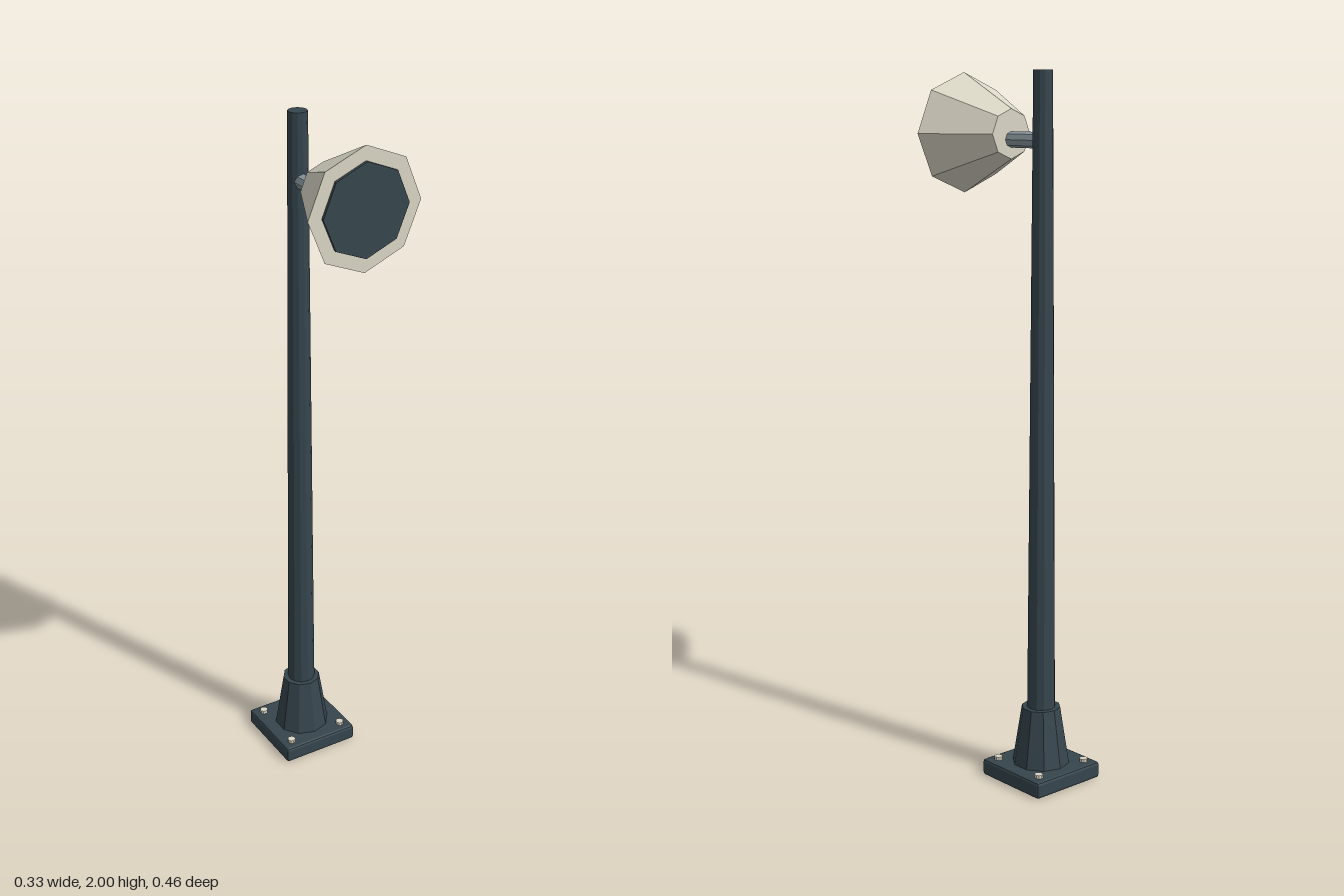
import * as THREE from 'three';
import { RoundedBoxGeometry } from 'three/addons/geometries/RoundedBoxGeometry.js';

export function createModel() {
  const group = new THREE.Group();
  const material = (name, color) => {
    const m = new THREE.MeshStandardMaterial({ color, flatShading: true });
    m.name = name;
    return m;
  };
  const darkSteel = material('dark steel', 0x36454d);
  const greySteel = material('grey steel', 0x8a98a0);
  const cream = material('cream', 0xdad6c6);

  const add = (name, geometry, mat, x, y, z) => {
    const mesh = new THREE.Mesh(geometry, mat);
    mesh.name = name;
    mesh.position.set(x, y, z);
    group.add(mesh);
  };
  // Upright tapered prism standing on yBottom
  const upright = (name, mat, rTop, rBottom, yBottom, yTop, sides, x, z) =>
    add(name, new THREE.CylinderGeometry(rTop, rBottom, yTop - yBottom, sides), mat, x, (yBottom + yTop) / 2, z);
  // Eight-sided tapered prism lying along z
  const forward = (name, mat, rFront, rBack, zBack, zFront, y) =>
    add(name, new THREE.CylinderGeometry(rFront, rBack, zFront - zBack, 8).rotateX(Math.PI / 2), mat, 0, y, (zBack + zFront) / 2);

  const poleZ = -0.11;

  // Base plate with chamfered edges, and its four bolts
  add('basePlate', new RoundedBoxGeometry(0.24, 0.048, 0.24, 1, 0.008), darkSteel, 0, 0.024, poleZ);
  for (const sx of [-1, 1])
    for (const sz of [-1, 1])
      upright('bolt', cream, 0.012, 0.012, 0.04, 0.058, 10, sx * 0.087, poleZ + sz * 0.087);

  // Collar and tapering pole
  upright('collar', darkSteel, 0.056, 0.083, 0.045, 0.215, 10, 0, poleZ);
  upright('pole', darkSteel, 0.027, 0.042, 0.045, 2, 12, 0, poleZ);

  // Lamp arm, shade and front lens
  forward('arm', greySteel, 0.022, 0.022, poleZ, 0.03, 1.815);
  forward('shade', cream, 0.167, 0.068, 0.018, 0.22, 1.83);
  forward('lens', darkSteel, 0.127, 0.127, 0.215, 0.228, 1.83);

  return group;
}
